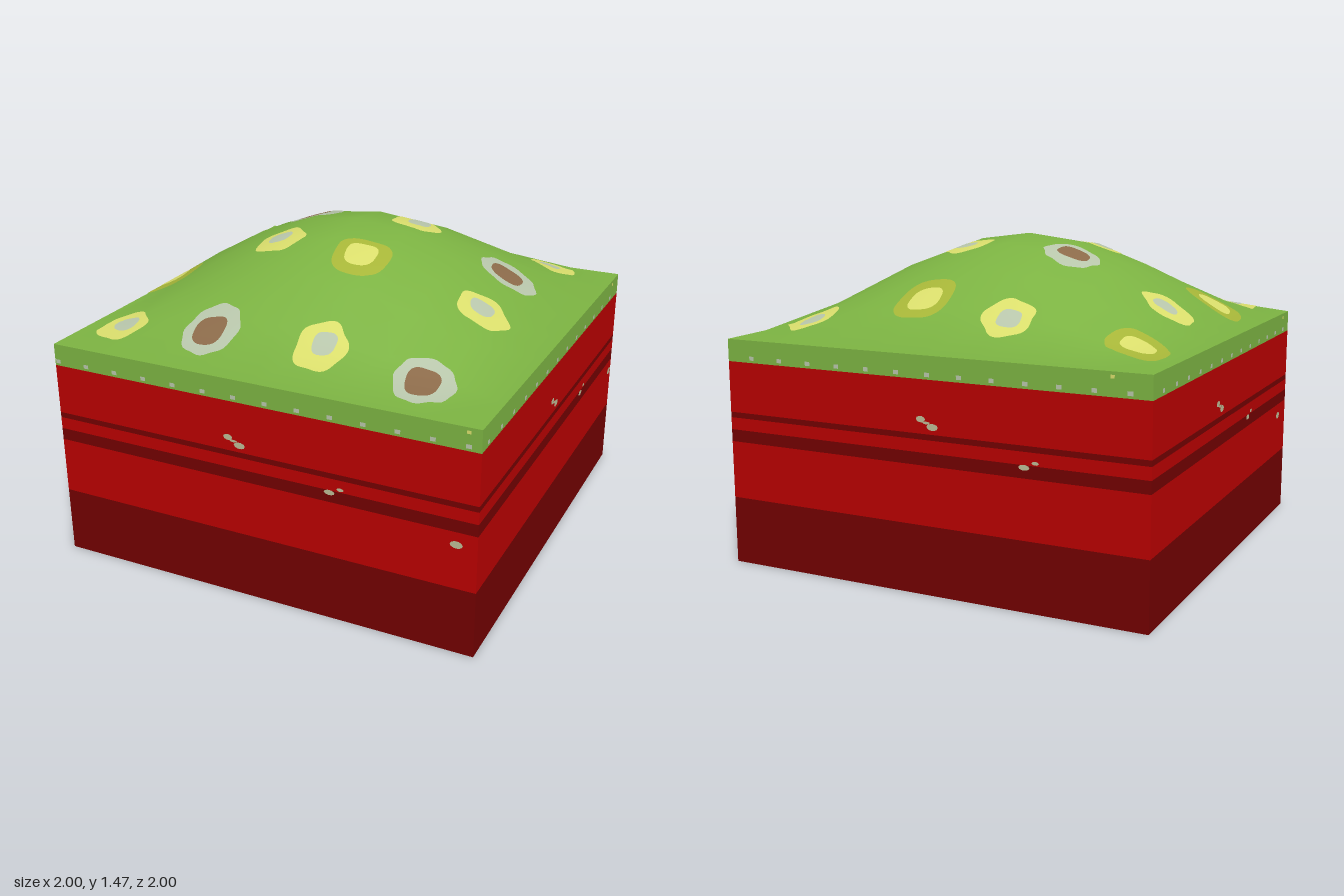
import * as THREE from 'three';

const mat = (name, color) => Object.assign(new THREE.MeshStandardMaterial({ color }), { name });

const N = 8, BASE = 1.03, RISE = 0.435;
const edge = (x, z) => Math.max(Math.abs(x), Math.abs(z)) > 0.999;
const c = (t) => Math.cos(t * Math.PI / 2), s = (t) => Math.sin(t * Math.PI / 2);
const height = (x, z) => BASE + RISE * c(x) * c(z);
// Slopes of the mound; the rim is shaded as if level
const slopeX = (x, z) => edge(x, z) ? 0 : RISE * Math.PI / 2 * s(x) * c(z);
const slopeZ = (x, z) => edge(x, z) ? 0 : RISE * Math.PI / 2 * c(x) * s(z);

// Value of fn on the faceted grid of the mound, so that spots follow its triangles
function onGrid(fn, x, z) {
  const u = (x + 1) * N / 2, v = (z + 1) * N / 2;
  const i = Math.min(N - 1, Math.max(0, Math.floor(u)));
  const j = Math.min(N - 1, Math.max(0, Math.floor(v)));
  const fx = u - i, fz = v - j;
  const at = (a, b) => fn((i + a) * 2 / N - 1, (j + b) * 2 / N - 1);
  if (fx + fz <= 1) return at(0, 0) * (1 - fx - fz) + at(1, 0) * fx + at(0, 1) * fz;
  return at(1, 1) * (fx + fz - 1) + at(0, 1) * (1 - fx) + at(1, 0) * (1 - fz);
}

// Lays a flat geometry (in x and z) over the mound
function drape(geo, lift) {
  const p = geo.attributes.position, n = geo.attributes.normal, v = new THREE.Vector3();
  for (let i = 0; i < p.count; i++) {
    const x = p.getX(i), z = p.getZ(i);
    p.setY(i, onGrid(height, x, z) + lift);
    v.set(onGrid(slopeX, x, z), 1, onGrid(slopeZ, x, z)).normalize();
    n.setXYZ(i, v.x, v.y, v.z);
  }
  return geo;
}

// Wavy round patch on the mound
function blob(x, z, r, lobes, wave, phase, lift) {
  const geo = new THREE.RingGeometry(0.0001, 1, 48, 8);
  geo.rotateX(-Math.PI / 2);
  const p = geo.attributes.position;
  for (let i = 0; i < p.count; i++) {
    const a = Math.atan2(p.getZ(i), p.getX(i));
    const k = r * (1 + wave * Math.cos(lobes * a + phase) + 0.025 * Math.sin(3 * a + phase));
    p.setXYZ(i, x + p.getX(i) * k, 0, z + p.getZ(i) * k);
  }
  return drape(geo, lift);
}

export function createModel() {
  const green = mat('leaf green', 0x7cb342);
  const red = mat('red', 0xb90000);
  const darkRed = mat('dark red', 0x720000);
  const yellow = mat('pale yellow', 0xdade6c);
  const olive = mat('olive yellow', 0xa7b638);
  const grey = mat('pale grey', 0xb8c6ab);
  const beige = mat('beige', 0xbcbc96);
  const brown = mat('brown', 0x8c6b4a);
  const model = new THREE.Group();
  const add = (parent, name, geo, material) => {
    const mesh = new THREE.Mesh(geo, material);
    mesh.name = name;
    parent.add(mesh);
  };

  // Square body in stacked bands, from the floor up
  const levels = [0, 0.305, 0.565, 0.62, 0.675, 0.7, 0.93];
  const band = (name, y0, y1, material) => {
    const geo = new THREE.CylinderGeometry(Math.SQRT2, Math.SQRT2, y1 - y0, 4, 1, true)
      .rotateY(Math.PI / 4).translate(0, (y0 + y1) / 2, 0).toNonIndexed();
    geo.computeVertexNormals();
    add(model, name, geo, material);
  };
  for (let i = 0; i < levels.length - 1; i++) {
    band(i % 2 ? 'redBand' : 'darkBand', levels[i], levels[i + 1], i % 2 ? red : darkRed);
  }
  band('greenRim', 0.93, BASE, green);
  add(model, 'underside', new THREE.PlaneGeometry(2, 2).rotateX(Math.PI / 2), red);

  // Mound on top
  add(model, 'mound', drape(new THREE.PlaneGeometry(2, 2, N, N).rotateX(-Math.PI / 2), 0), green);

  // Four kinds of spot, repeated two by two:
  // outer x, z, radius, lobes, wave, phase, colour, then inner x, z, radius, colour
  const spots = [
    [-0.82, -0.693, 0.131, 4, 0.05, 3.14, olive, -0.825, -0.7, 0.075, yellow],
    [-0.27, -0.76, 0.112, 5, 0.06, 0.8, yellow, -0.28, -0.77, 0.054, grey],
    [-0.77, -0.2, 0.112, 5, 0.06, 0.8, yellow, -0.76, -0.21, 0.054, grey],
    [-0.305, -0.193, 0.128, 8, 0.03, 0.8, grey, -0.31, -0.182, 0.074, brown],
  ];
  for (const dx of [0, 0.985]) for (const dz of [0, 0.995]) {
    for (const [x, z, r, lobes, wave, phase, outer, ix, iz, ir, inner] of spots) {
      add(model, 'spot', blob(x + dx, z + dz, r, lobes, wave, phase, 0.003), outer);
      add(model, 'spotCentre', blob(ix + dx, iz + dz, ir, 4, 0.05, 3.5, 0.005), inner);
    }
  }

  // Pale specks on the four sides: u, y, half width, half height
  const specks = [
    [-0.125, 0.762, 0.022, 0.014], [-0.098, 0.748, 0.018, 0.006], [-0.07, 0.732, 0.027, 0.015],
    [0.35, 0.61, 0.025, 0.012], [0.4, 0.632, 0.016, 0.008], [0.91, 0.508, 0.028, 0.017],
  ];
  const shifts = [0, 0.055, 0.11, -0.05]; // front, left, back, right
  shifts.forEach((shift, k) => {
    const side = new THREE.Group();
    side.name = 'sideDetails';
    side.rotation.y = k * Math.PI / 2;
    model.add(side);
    for (const [u, y, w, h] of specks) {
      const x = u + shift;
      if (x > 1) continue;
      const half = Math.min(w, 1 - x);
      add(side, 'speck', new THREE.CircleGeometry(1, 10).scale(half, h, 1).translate(x, y, 1.001), beige);
    }
    // Row of small dots along the foot of the rim
    for (let x = -0.983 + shift; x < 0.985; x += 0.1485) {
      if (x < -0.985) continue;
      add(side, 'rimDot', new THREE.PlaneGeometry(0.024, 0.018).translate(x, 0.95, 1.001), grey);
    }
    // Single bright fleck high on the rim
    add(side, 'rimFleck', new THREE.PlaneGeometry(0.018, 0.014).translate(0.945 - Math.abs(shift), 1.01, 1.001), yellow);
  });
  return model;
}
